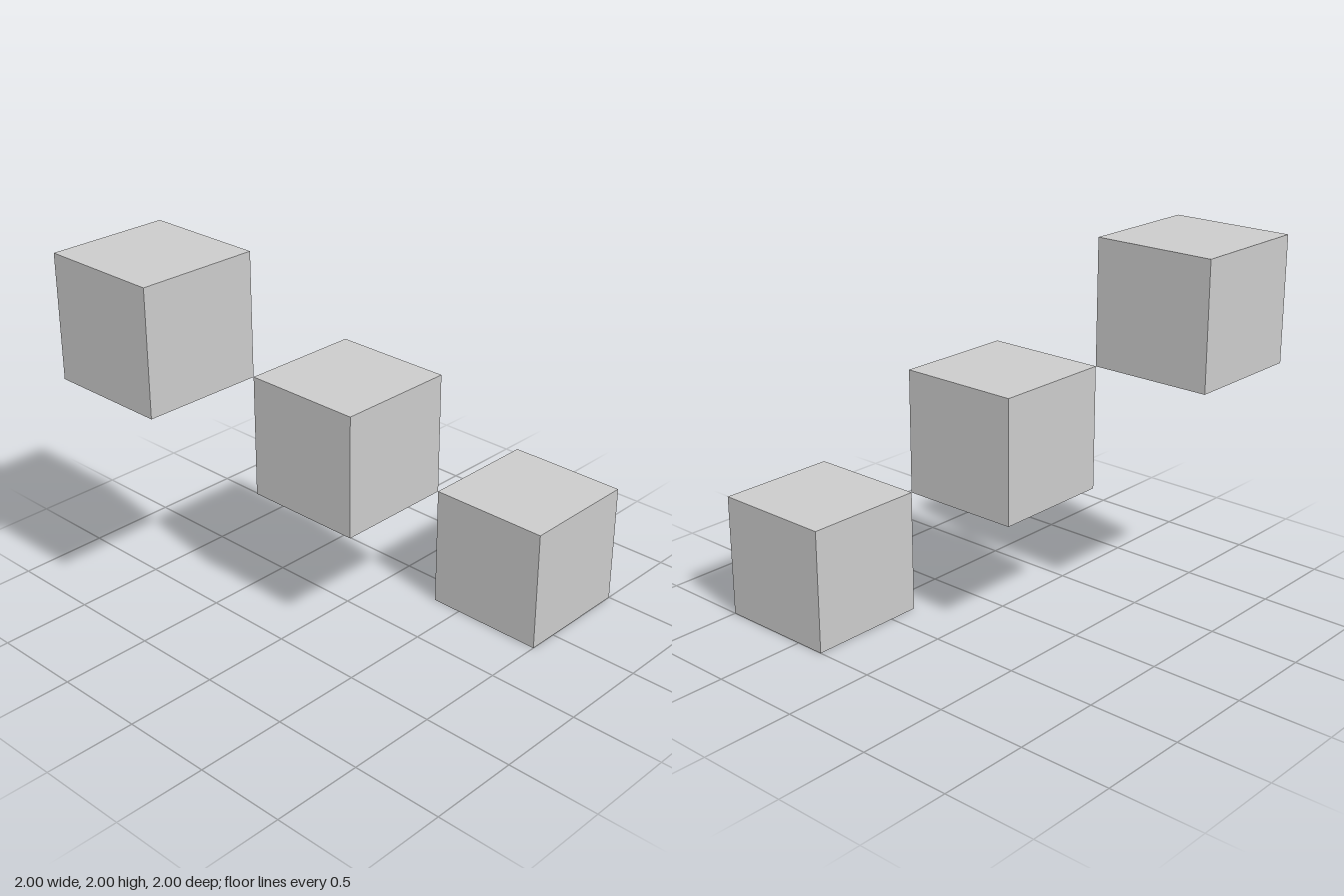
import * as THREE from 'three';

export function createModel() {
  const group = new THREE.Group();
  const size = 2 / 3;
  const geometry = new THREE.BoxGeometry(size, size, size);
  const material = new THREE.MeshStandardMaterial({ color: 0xcccccc });

  // Three equal cubes touching corner to corner along a diagonal
  ['lowerCube', 'middleCube', 'upperCube'].forEach((name, i) => {
    const step = (i - 1) * size;
    const cube = new THREE.Mesh(geometry, material);
    cube.name = name;
    cube.position.set(-step, 1 + step, step);
    group.add(cube);
  });

  return group;
}
